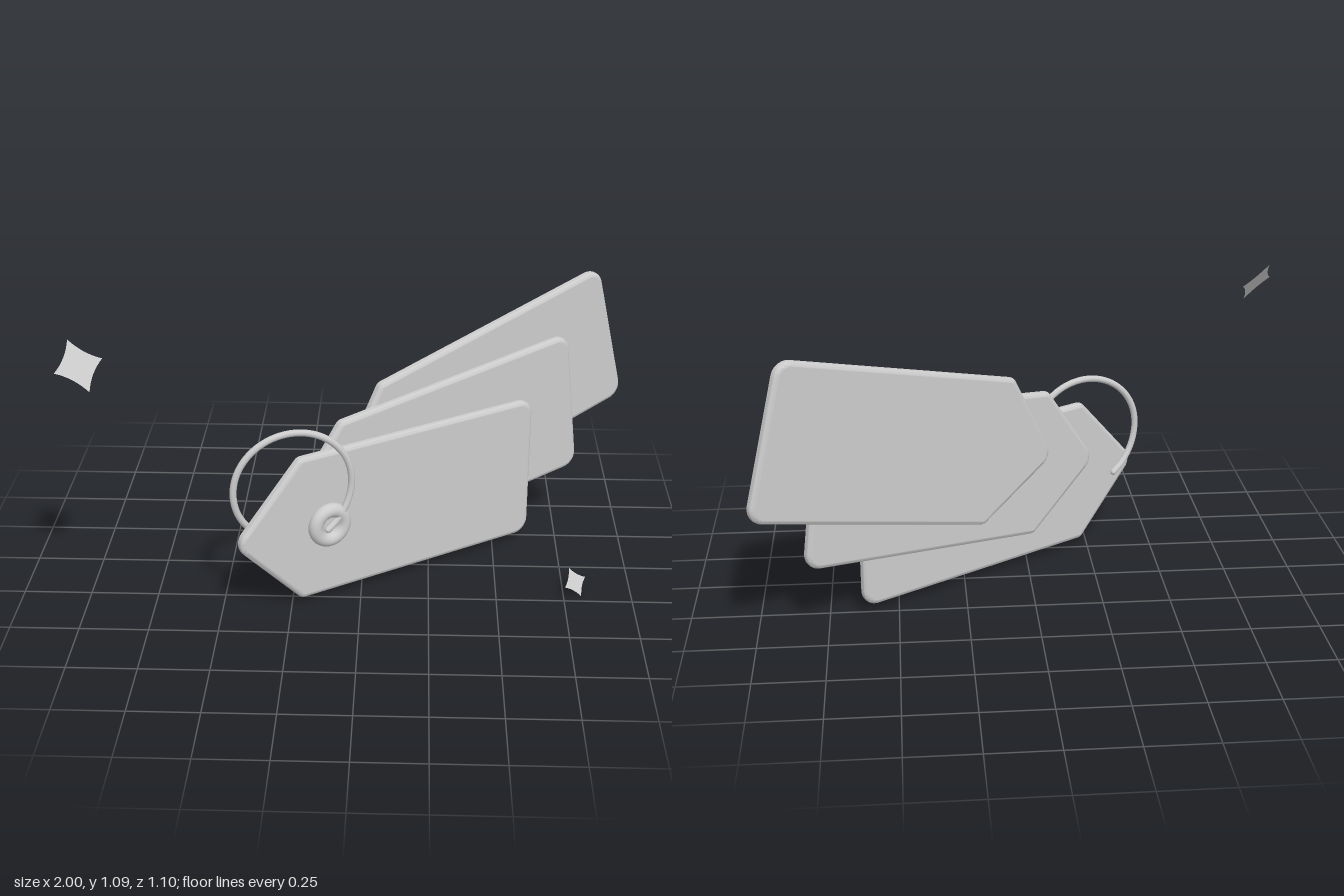
import * as THREE from 'three';
import { toCreasedNormals } from 'three/addons/utils/BufferGeometryUtils.js';

// Closed shape from [x, y, radius] corners, each rounded by a tangent arc
function roundedShape(corners) {
  const shape = new THREE.Shape();
  const n = corners.length;
  corners.forEach(([x, y, r], i) => {
    const p = new THREE.Vector2(x, y);
    const a = new THREE.Vector2(...corners[(i + n - 1) % n]).sub(p).normalize();
    const b = new THREE.Vector2(...corners[(i + 1) % n]).sub(p).normalize();
    const half = Math.acos(a.dot(b)) / 2;
    const cut = r / Math.tan(half);
    const centre = a.clone().add(b).normalize().multiplyScalar(r / Math.sin(half)).add(p);
    const start = a.multiplyScalar(cut).add(p).sub(centre);
    const end = b.multiplyScalar(cut).add(p).sub(centre);
    shape.absarc(centre.x, centre.y, r, start.angle(), end.angle(), false);
  });
  return shape;
}

// Price tag blank: pointed left end, origin at the middle of the right end
function tagGeometry() {
  const bevel = 0.018, depth = 0.004;
  const shape = roundedShape([
    [0, -0.285, 0.06], [0, 0.285, 0.06],
    [-1.015, 0.285, 0.035], [-1.28, 0, 0.06], [-1.015, -0.285, 0.035],
  ]);
  const extruded = new THREE.ExtrudeGeometry(shape, {
    depth, bevelThickness: bevel, bevelSize: bevel, bevelOffset: -bevel,
    bevelSegments: 5, curveSegments: 8,
  });
  extruded.translate(0, 0, -depth / 2);
  const geo = toCreasedNormals(extruded, 0.7);
  // Keep the two large faces perfectly flat
  const pos = geo.attributes.position, nor = geo.attributes.normal;
  const face = depth / 2 + bevel - 1e-4;
  for (let i = 0; i < pos.count; i += 3) {
    const z = [0, 1, 2].map((k) => pos.getZ(i + k));
    if (z.every((v) => v > face) || z.every((v) => v < -face)) {
      for (let k = 0; k < 3; k++) nor.setXYZ(i + k, 0, 0, Math.sign(z[0]));
    }
  }
  return geo;
}

// Flat four-pointed star with concave sides
function sparkleGeometry(size) {
  const shape = new THREE.Shape();
  shape.moveTo(size, 0);
  for (let i = 1; i <= 4; i++) {
    const a = (i * Math.PI) / 2, m = a - Math.PI / 4;
    shape.quadraticCurveTo(
      Math.cos(m) * size * 0.5, Math.sin(m) * size * 0.5,
      Math.cos(a) * size, Math.sin(a) * size);
  }
  return new THREE.ShapeGeometry(shape, 8);
}

export function createModel() {
  const model = new THREE.Group();
  model.name = 'priceTags';
  const grey = new THREE.MeshStandardMaterial({ color: 0xcccccc, side: THREE.DoubleSide });
  grey.name = 'light grey';

  const add = (parent, name, geometry, x, y, z) => {
    const mesh = new THREE.Mesh(geometry, grey);
    mesh.name = name;
    mesh.position.set(x, y, z);
    parent.add(mesh);
    return mesh;
  };

  // Everything but the sparkles is turned together about the vertical
  const bundle = new THREE.Group();
  bundle.name = 'tagBundle';
  bundle.rotation.y = 0.575;
  model.add(bundle);

  // Three fanned tags, front to back
  const tag = tagGeometry();
  [
    ['frontTag', 0.67, 0.315, 0.128, 0],
    ['middleTag', 0.88, 0.539, 0.105, 0.13],
    ['backTag', 1.07, 0.778, 0.082, 0.265],
  ].forEach(([name, x, y, z, turn]) => {
    add(bundle, name, tag, x, y, z).rotation.z = turn;
  });

  // Eyelet on the front tag
  add(bundle, 'eyelet', new THREE.TorusGeometry(0.058, 0.027, 20, 40), -0.235, 0.315, 0.158);

  // Open ring, in front of the tag on one side and behind it on the other
  const points = [];
  for (let i = 0; i <= 24; i++) {
    const a = THREE.MathUtils.degToRad(-58 + (i / 24) * 298);
    const swing = Math.cos(THREE.MathUtils.clamp(a, 0, Math.PI));
    points.push(new THREE.Vector3(
      -0.361 + 0.211 * Math.cos(a), 0.482 + 0.211 * Math.sin(a), 0.117 + 0.053 * swing));
  }
  const path = new THREE.CatmullRomCurve3(points);
  add(bundle, 'ring', new THREE.TubeGeometry(path, 96, 0.0125, 12), 0, 0, 0);
  [points[0], points[24]].forEach((p) => {
    add(bundle, 'ringEnd', new THREE.SphereGeometry(0.0125, 12, 8), p.x, p.y, p.z);
  });

  // Floating sparkles, facing diagonally up and forward
  [
    ['largeSparkle', 0.096, -0.931, 1.015, 0.475],
    ['smallSparkle', 0.057, 0.793, 0.052, 0.192],
  ].forEach(([name, size, x, y, z]) => {
    add(model, name, sparkleGeometry(size), x, y, z).lookAt(x + 1, y + 1, z + 1);
  });

  return model;
}
